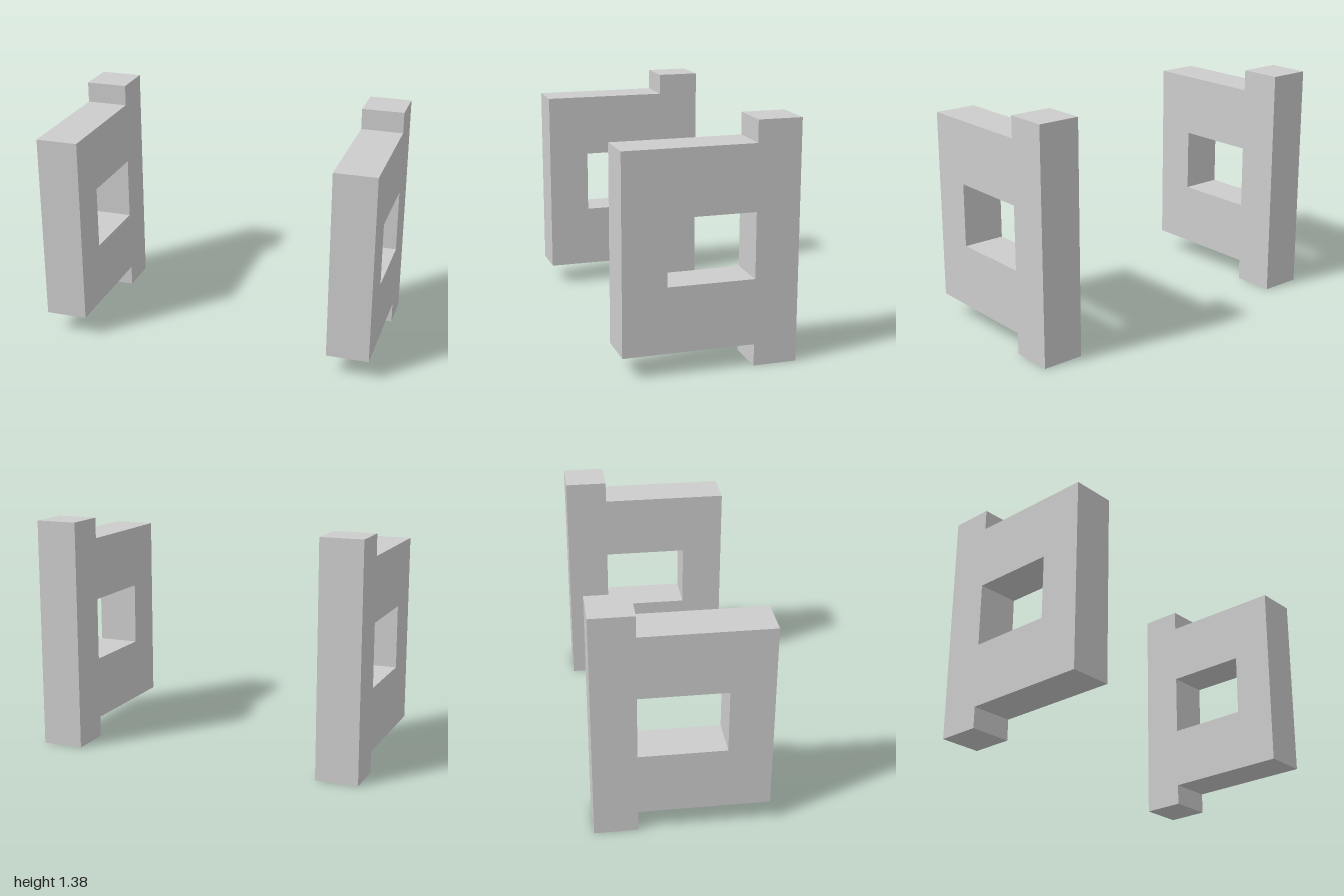
import * as THREE from 'three';

const THICKNESS = 0.25;

// Side profile drawn in (z, y): front slab, taller rear post, square window.
function panelGeometry() {
  const profile = new THREE.Shape([
    [-0.5, 0], [-0.25, 0], [-0.25, 0.125], [0.5, 0.125],
    [0.5, 1.25], [-0.25, 1.25], [-0.25, 1.375], [-0.5, 1.375],
  ].map(([z, y]) => new THREE.Vector2(z, y)));
  profile.holes.push(new THREE.Path([
    [-0.25, 0.5], [-0.25, 0.875], [0.25, 0.875], [0.25, 0.5],
  ].map(([z, y]) => new THREE.Vector2(z, y))));

  const geometry = new THREE.ExtrudeGeometry(profile, { depth: THICKNESS, bevelEnabled: false });
  geometry.translate(0, 0, -THICKNESS / 2);
  geometry.rotateY(-Math.PI / 2); // profile's first axis becomes z
  return geometry;
}

export function createModel() {
  const model = new THREE.Group();
  model.name = 'sidePanels';

  const lightGrey = new THREE.MeshStandardMaterial({ color: 0xcccccc });
  lightGrey.name = 'lightGrey';

  // Two identical panels standing apart
  const geometry = panelGeometry();
  for (const [name, side] of [['leftPanel', 1], ['rightPanel', -1]]) {
    const panel = new THREE.Mesh(geometry, lightGrey);
    panel.name = name;
    panel.position.x = side * (1 - THICKNESS / 2);
    model.add(panel);
  }
  return model;
}
